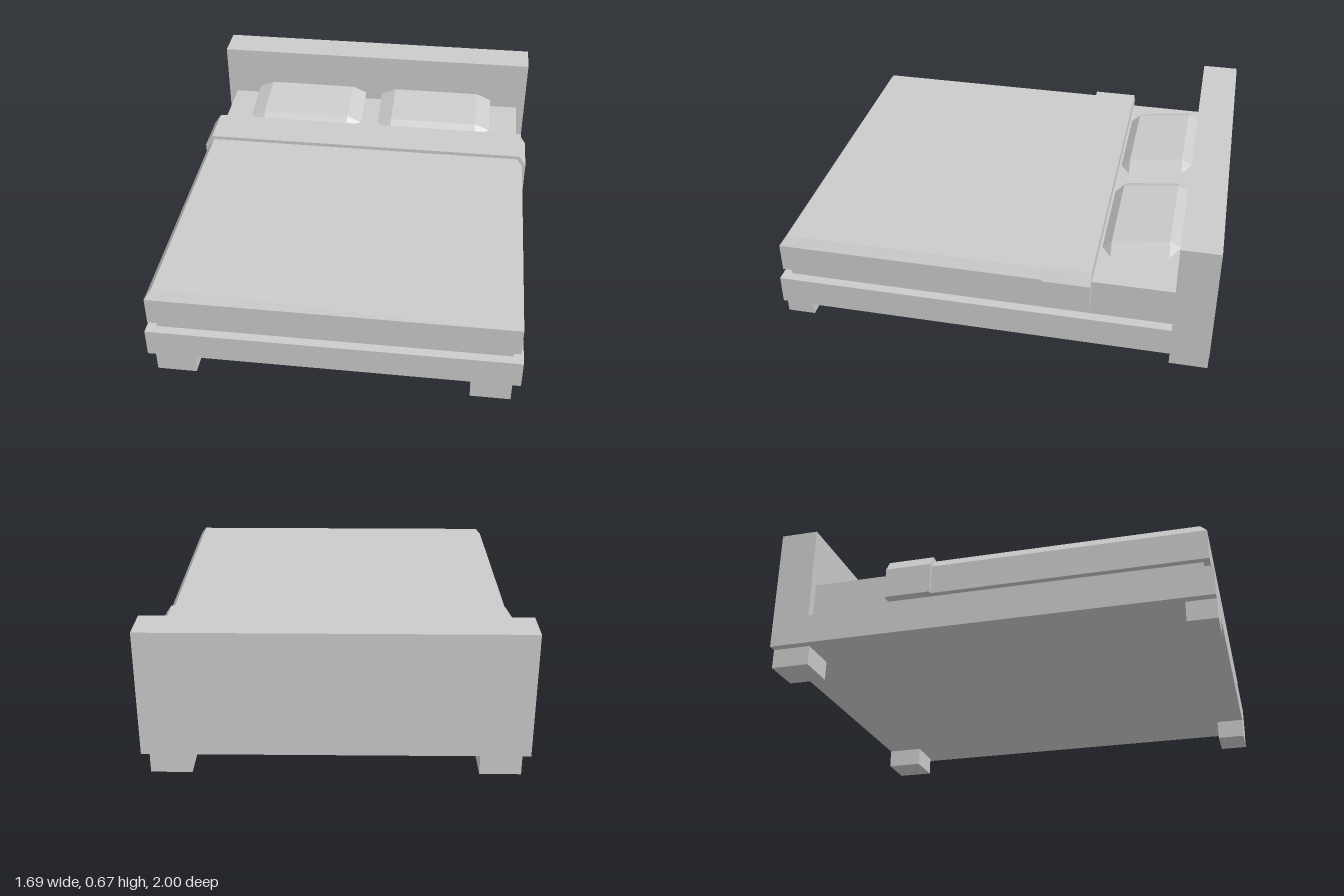
import * as THREE from 'three';
import { ConvexGeometry } from 'three/addons/geometries/ConvexGeometry.js';

const material = new THREE.MeshStandardMaterial({ color: 0xcccccc, flatShading: true });

function addMesh(parent, name, geometry) {
  const mesh = new THREE.Mesh(geometry, material);
  mesh.name = name;
  parent.add(mesh);
  return mesh;
}

// Box given by its limits on each axis
function addBox(parent, name, [x0, x1], [y0, y1], [z0, z1]) {
  const mesh = addMesh(parent, name, new THREE.BoxGeometry(x1 - x0, y1 - y0, z1 - z0));
  mesh.position.set((x0 + x1) / 2, (y0 + y1) / 2, (z0 + z1) / 2);
  return mesh;
}

// Solid from rectangular levels: half width, height, back z, front z
function addLevels(parent, name, levels) {
  const points = [];
  for (const [w, y, back, front] of levels)
    for (const x of [-w, w])
      for (const z of [back, front]) points.push(new THREE.Vector3(x, y, z));
  return addMesh(parent, name, new ConvexGeometry(points));
}

// Flat cushion: smaller top and bottom faces around a corner-cut outline
function pillowGeometry() {
  const outerX = 0.303, innerX = 0.228, outerZ = 0.177, innerZ = 0.131, half = 0.035;
  const points = [];
  for (const sx of [-1, 1])
    for (const sz of [-1, 1]) {
      points.push(new THREE.Vector3(sx * outerX, 0, sz * innerZ));
      points.push(new THREE.Vector3(sx * innerX, 0, sz * outerZ));
      for (const sy of [-1, 1])
        points.push(new THREE.Vector3(sx * innerX, sy * half, sz * innerZ));
    }
  return new ConvexGeometry(points);
}

export function createModel() {
  const bed = new THREE.Group();
  bed.name = 'bed';

  // Base and headboard
  addBox(bed, 'frame', [-0.845, 0.845], [0.09, 0.225], [-0.825, 1]);
  addBox(bed, 'headboard', [-0.845, 0.845], [0.09, 0.67], [-1, -0.825]);

  // Legs
  for (const side of [-1, 1]) {
    const x = side > 0 ? [0.625, 0.807] : [-0.807, -0.625];
    addBox(bed, 'frontLeg', x, [0, 0.09], [0.87, 1]);
    addBox(bed, 'backLeg', x, [0, 0.09], [-1, -0.825]);
  }

  // Bedding
  addBox(bed, 'mattress', [-0.8, 0.8], [0.225, 0.405], [-0.825, 0.957]);
  addLevels(bed, 'blanket', [
    [0.83, 0.27, -0.25, 0.985],
    [0.83, 0.405, -0.25, 0.985],
    [0.8, 0.447, -0.25, 0.955],
  ]);
  addLevels(bed, 'blanketFold', [
    [0.847, 0.27, -0.458, -0.245],
    [0.847, 0.41, -0.458, -0.245],
    [0.81, 0.465, -0.458, -0.245],
  ]);

  // Pillows leaning up towards the headboard
  const geometry = pillowGeometry();
  for (const side of [-1, 1]) {
    const pillow = addMesh(bed, side > 0 ? 'leftPillow' : 'rightPillow', geometry);
    pillow.position.set(side * 0.348, 0.455, -0.648);
    pillow.rotation.x = 0.13;
  }
  return bed;
}
